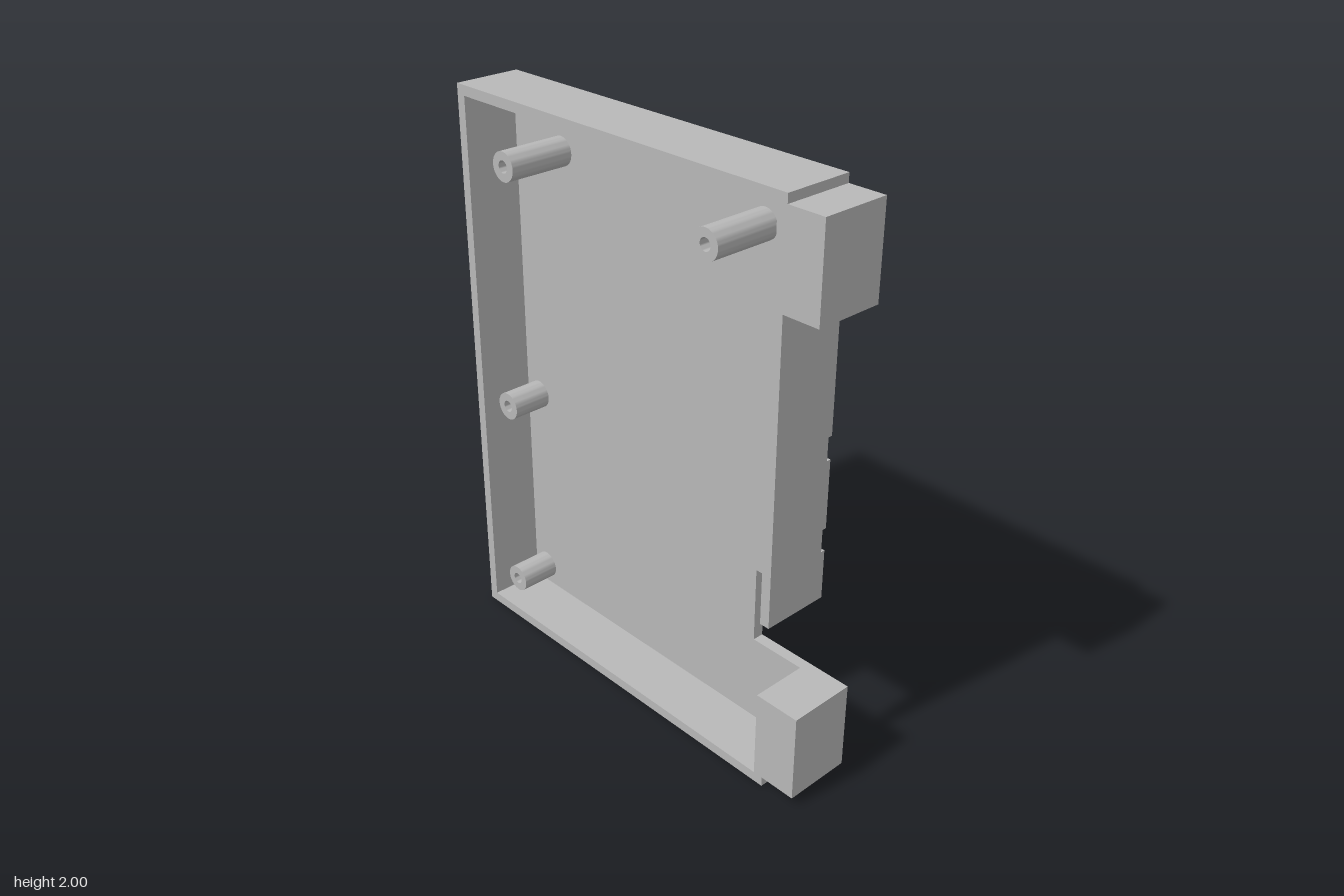
import * as THREE from 'three';
import { toCreasedNormals } from 'three/addons/utils/BufferGeometryUtils.js';

const OUT = 0.08, GROOVE = 0.065, FLOOR = 0.04, RIM = -0.16;

// Closed outline from [z, y] points
function outline(points) {
  return new THREE.Shape(points.map(([z, y]) => new THREE.Vector2(-z, y)));
}

function addHole(shape, z, y, r) {
  const hole = new THREE.Path();
  hole.absarc(-z, y, r, 0, Math.PI * 2, true);
  shape.holes.push(hole);
}

// Extrude a side outline along x between two planes
function slab(shape, x0, x1) {
  const geo = new THREE.ExtrudeGeometry(shape, { depth: x1 - x0, bevelEnabled: false, curveSegments: 24 });
  geo.rotateY(Math.PI / 2).translate(x0, 0, 0);
  return toCreasedNormals(geo, 0.6);
}

// Ring-shaped tube along z
function tube(outer, inner, length) {
  const shape = new THREE.Shape();
  shape.absarc(0, 0, outer, 0, Math.PI * 2, false);
  addHole(shape, 0, 0, inner);
  return toCreasedNormals(
    new THREE.ExtrudeGeometry(shape, { depth: length, bevelEnabled: false, curveSegments: 24 }), 0.6);
}

export function createModel() {
  const model = new THREE.Group();
  const grey = new THREE.MeshStandardMaterial({ color: 0xb8b8b8 });
  grey.name = 'grey plastic';
  const add = (name, geo) => {
    const mesh = new THREE.Mesh(geo, grey);
    mesh.name = name;
    model.add(mesh);
    return mesh;
  };

  // Screw positions: z, y, inner end of the post
  const screws = [[0.39, 1.795, -0.197], [-0.51, 1.795, -0.197], [-0.68, 0.85, -0.105], [-0.68, 0.11, -0.105]];

  const lower = [[-0.78, 0], [0.65, 0], [0.65, 0.035], [0.78, 0.035], [0.78, 0.35]];
  const upper = [[0.65, 1.66], [0.78, 1.66], [0.78, 1.97], [0.65, 1.97], [0.65, 2], [-0.78, 2]];
  const notch = [[0.41, 0.35], [0.41, 0.625], [0.65, 0.625]];
  const grooves = [];
  for (const y of [0.8, 1.12]) {
    grooves.push([0.65, y], [-0.145, y], [-0.145, y + 0.08], [0.65, y + 0.08]);
  }

  // Base panel: full layer plus a grooved outer layer
  const panel = outline([...lower, ...notch, ...upper]);
  const face = outline([...lower, ...notch, ...grooves, ...upper]);
  for (const [z, y] of screws) {
    addHole(panel, z, y, 0.04);
    addHole(face, z, y, 0.04);
  }
  add('panel', slab(panel, FLOOR, GROOVE));
  add('groovedFace', slab(face, GROOVE, OUT));

  // Perimeter walls with the two solid front tabs, open at the notch
  add('walls', slab(outline([
    ...lower,
    [0.615, 0.35], [0.615, 0.035], [-0.745, 0.035], [-0.745, 1.965], [0.615, 1.965], [0.615, 0.625],
    [0.65, 0.625], ...upper,
  ]), RIM, FLOOR));

  // Hollow screw posts inside the tray
  for (const [z, y, end] of screws) {
    const geo = tube(0.05, 0.021, FLOOR - end);
    geo.rotateY(Math.PI / 2);
    add('screwPost', geo).position.set(end, y, z);
  }

  // Pivot rings on the outer face
  for (const y of [0.737, 1.2]) {
    const geo = tube(0.064, 0.021, 0.064);
    geo.rotateX(-Math.PI / 2);
    add('pivotRing', geo).position.set(0.128, y, -0.085);
  }
  return model;
}
